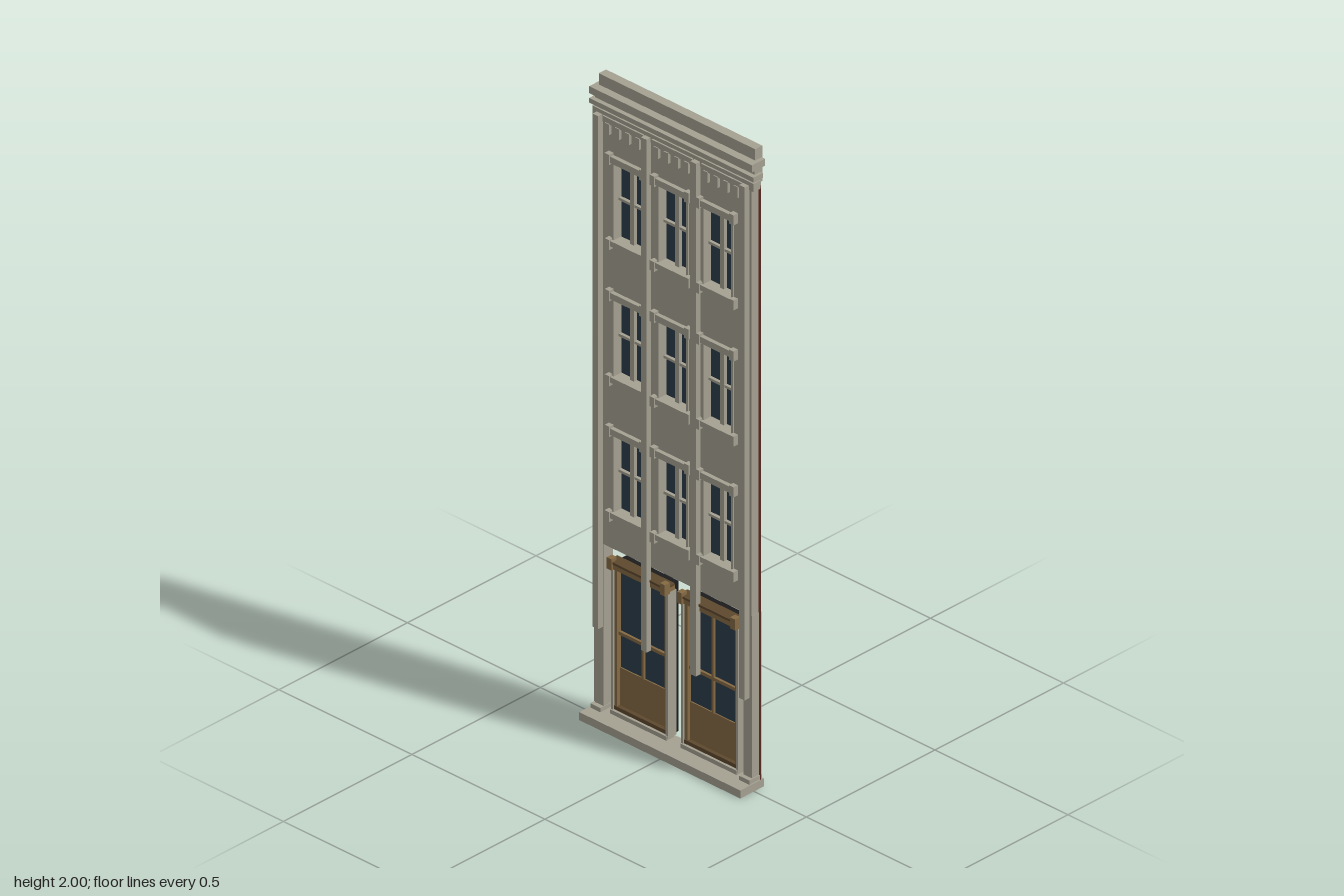
import * as THREE from 'three';

const mat = (name, color) => {
  const m = new THREE.MeshStandardMaterial({ color });
  m.name = name;
  return m;
};

export function createModel() {
  const stone = mat('stone', 0xa5a192);
  const glass = mat('glass', 0x2c3c4a);
  const wood = mat('wood', 0x846a43);
  const darkWood = mat('darkWood', 0x5e492d);
  const black = mat('black', 0x1b1b1b);
  const brick = mat('brick', 0x7c3c31);
  brick.side = THREE.DoubleSide;

  const model = new THREE.Group();
  model.name = 'townhouseFacade';

  // Box given by its limits on each axis
  const box = (parent, name, m, x0, x1, y0, y1, z0, z1) => {
    const mesh = new THREE.Mesh(new THREE.BoxGeometry(x1 - x0, y1 - y0, z1 - z0), m);
    mesh.position.set((x0 + x1) / 2, (y0 + y1) / 2, (z0 + z1) / 2);
    mesh.name = name;
    parent.add(mesh);
    return mesh;
  };
  const group = (name, x = 0, y = 0) => {
    const g = new THREE.Group();
    g.name = name;
    g.position.set(x, y, 0);
    model.add(g);
    return g;
  };

  const bays = [-0.169, 0, 0.169];
  const rows = [0.785, 1.21, 1.636];
  const hw = 0.052, hh = 0.122; // half size of a window opening

  // Upper wall with window openings
  const rect = (Kind, x0, x1, y0, y1) => {
    const p = new Kind();
    p.moveTo(x0, y0);
    p.lineTo(x1, y0);
    p.lineTo(x1, y1);
    p.lineTo(x0, y1);
    p.closePath();
    return p;
  };
  const wallShape = rect(THREE.Shape, -0.296, 0.294, 0.545, 1.89);
  for (const y of rows) for (const x of bays)
    wallShape.holes.push(rect(THREE.Path, x - hw, x + hw, y - hh, y + hh));
  const wall = new THREE.Mesh(
    new THREE.ExtrudeGeometry(wallShape, { depth: 0.037, bevelEnabled: false }), stone);
  wall.position.z = -0.037;
  wall.name = 'upperWall';
  model.add(wall);

  // Windows: glass, bars, head, sill and dark interior
  for (const y of rows) for (const x of bays) {
    const w = group('window', x, y);
    box(w, 'windowGlass', glass, -hw, hw, -hh, hh, -0.032, -0.026);
    box(w, 'windowInterior', black, -0.058, 0.058, -0.134, 0.132, -0.049, -0.0325);
    box(w, 'windowMullion', stone, -0.007, 0.007, -hh, hh, -0.026, -0.014);
    box(w, 'windowCrossbar', stone, -hw, hw, -0.004, 0.004, -0.026, -0.016);
    box(w, 'windowHead', stone, -0.07, 0.07, hh, hh + 0.02, 0, 0.013);
    box(w, 'windowSill', stone, -0.07, 0.07, -hh - 0.017, -hh, 0, 0.013);
    for (const s of [-1, 1]) {
      const at = (name, a, b, y0, y1, z1) =>
        box(w, name, stone, Math.min(s * a, s * b), Math.max(s * a, s * b), y0, y1, 0, z1);
      at('headEar', 0.056, 0.073, hh - 0.005, hh + 0.027, 0.017);
      at('sillEar', 0.056, 0.073, -hh - 0.027, -hh + 0.004, 0.017);
      at('windowJamb', hw, hw + 0.007, -hh, hh, 0.004);
    }
  }

  // Doors: casing, glazing, panel, head and dark interior
  for (const x of [-0.132, 0.132]) {
    const d = group('door', x);
    box(d, 'doorInterior', black, -0.098, 0.098, 0.03, 0.5, -0.055, -0.031);
    box(d, 'doorGlass', glass, -0.09, 0.09, 0.168, 0.488, -0.031, -0.024);
    box(d, 'doorPanel', wood, -0.09, 0.09, 0.05, 0.168, -0.031, -0.02);
    box(d, 'doorKick', darkWood, -0.1, 0.1, 0.03, 0.05, -0.031, -0.008);
    box(d, 'doorThreshold', stone, -0.106, 0.106, 0.025, 0.038, -0.03, 0.0);
    box(d, 'doorMullion', wood, -0.004, 0.004, 0.168, 0.488, -0.024, -0.016);
    box(d, 'doorTransom', wood, -0.09, 0.09, 0.272, 0.282, -0.024, -0.016);
    box(d, 'doorHead', wood, -0.106, 0.106, 0.484, 0.5, -0.034, 0.004);
    box(d, 'doorHeadCap', darkWood, -0.108, 0.108, 0.5, 0.507, -0.03, 0.007);
    for (const s of [-1, 1]) {
      box(d, 'doorStile', wood, s * 0.094 - 0.005, s * 0.094 + 0.005, 0.03, 0.485, -0.031, -0.01);
      box(d, 'doorCasing', stone, s * 0.103 - 0.004, s * 0.103 + 0.004, 0.03, 0.485, -0.037, -0.004);
      box(d, 'doorHeadEar', wood, s * 0.1 - 0.009, s * 0.1 + 0.009, 0.482, 0.517, -0.01, 0.01);
    }
  }

  // Pilasters and lower corner columns
  for (const x of [-0.276, -0.094, 0.091, 0.275])
    box(model, 'pilaster', stone, x - 0.0105, x + 0.0105, 0.285, 1.89, 0, 0.018);
  for (const s of [-1, 1]) {
    box(model, 'cornerColumn', stone, s * 0.279 - 0.016, s * 0.279 + 0.016, 0.025, 0.545, -0.037, 0);
    box(model, 'columnBase', stone, s * 0.28 - 0.019, s * 0.28 + 0.019, 0.025, 0.038, -0.036, 0.014);
  }
  box(model, 'leftoverEdge', stone, -0.303, -0.295, 0.025, 1.89, -0.034, -0.004).name = 'sideEdge';

  // Thin brick edge along one side
  const edge = new THREE.Mesh(new THREE.PlaneGeometry(0.011, 1.86), brick);
  edge.position.set(0.2985, 0.955, -0.027);
  edge.name = 'brickEdge';
  model.add(edge);

  // Dentils under the cornice, four to a bay
  for (const x of [-0.184, 0, 0.186]) {
    const c = group('dentilRow', x);
    box(c, 'dentilBand', stone, -0.076, 0.076, 1.872, 1.89, 0, 0.007);
    for (let i = 0; i < 4; i++) {
      const dx = (i - 1.5) * 0.038;
      box(c, 'dentil', stone, dx - 0.008, dx + 0.008, 1.84, 1.874, 0, 0.01);
    }
  }

  // Cornice mouldings and parapet
  box(model, 'parapet', stone, -0.294, 0.294, 1.89, 2, -0.042, -0.014);
  box(model, 'lowerMoulding', stone, -0.303, 0.303, 1.876, 1.902, -0.026, 0.002);
  box(model, 'corniceFrieze', stone, -0.3, 0.3, 1.902, 1.945, -0.03, -0.006);
  box(model, 'middleMoulding', stone, -0.309, 0.309, 1.911, 1.926, -0.028, 0.008);
  box(model, 'topMoulding', stone, -0.306, 0.306, 1.943, 1.965, -0.039, 0.011);

  // Front step
  box(model, 'baseStep', stone, -0.303, 0.303, 0, 0.025, -0.038, 0.053);

  return model;
}
